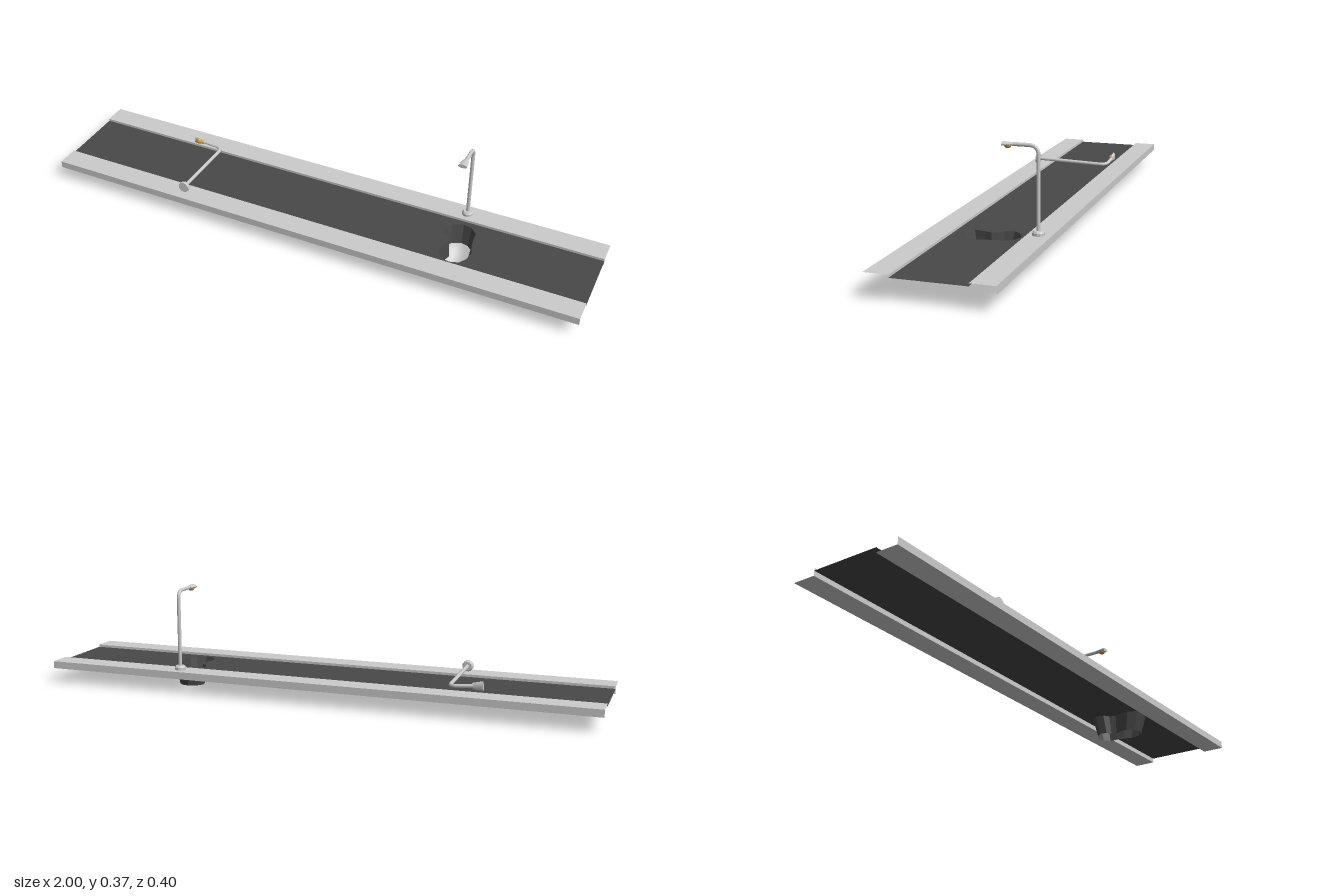
import * as THREE from 'three';

const grey = new THREE.MeshStandardMaterial({ color: 0xcccccc });
const greySides = new THREE.MeshStandardMaterial({ color: 0xcccccc, flatShading: true });
const asphalt = new THREE.MeshStandardMaterial({ color: 0x484848, side: THREE.DoubleSide });
const pitWall = new THREE.MeshStandardMaterial({ color: 0x484848, side: THREE.DoubleSide, flatShading: true });
const amber = new THREE.MeshStandardMaterial({ color: 0xd9a02c });

const ROAD_Y = 0.069, ROAD_HALF = 0.12, WALK_Y = 0.078;

// Outline of the hole, as [x, z]
const holeOutline = [
  [0.503, -0.103], [0.535, -0.095], [0.558, -0.072], [0.56, -0.04], [0.566, -0.005], [0.578, 0.03],
  [0.572, 0.07], [0.555, 0.097], [0.522, 0.107], [0.489, 0.097], [0.47, 0.066], [0.477, 0.03],
  [0.486, 0.004], [0.476, -0.018], [0.455, -0.032], [0.449, -0.062], [0.466, -0.085],
];

function add(parent, name, geometry, material) {
  const mesh = new THREE.Mesh(geometry, material);
  mesh.name = name;
  parent.add(mesh);
  return mesh;
}

// Flat road with the hole cut through it
function buildRoad(parent) {
  const shape = new THREE.Shape([[-1, -1], [1, -1], [1, 1], [-1, 1]]
    .map(([x, s]) => new THREE.Vector2(x, s * ROAD_HALF)));
  shape.holes.push(new THREE.Path(holeOutline.map(([x, z]) => new THREE.Vector2(x, -z))));
  const road = add(parent, 'road', new THREE.ShapeGeometry(shape), asphalt);
  road.rotation.x = -Math.PI / 2;
  road.position.y = ROAD_Y;
}

// Tapered wall of the hole, open at the bottom
function buildPit(parent) {
  const cx = 0.515, taper = 0.82, n = holeOutline.length;
  const positions = [], index = [];
  holeOutline.forEach(([x, z], i) => {
    positions.push(x, ROAD_Y, z, cx + (x - cx) * taper, 0, z * taper);
    const a = 2 * i, b = 2 * ((i + 1) % n);
    index.push(a, b, a + 1, b, b + 1, a + 1);
  });
  const geometry = new THREE.BufferGeometry();
  geometry.setAttribute('position', new THREE.Float32BufferAttribute(positions, 3));
  geometry.setIndex(index);
  geometry.computeVertexNormals();
  add(parent, 'holeWall', geometry, pitWall);
}

// Pavement: a long box without end faces
function buildPavement(parent, name, side) {
  const height = WALK_Y - 0.052;
  const geometry = new THREE.BoxGeometry(2, height, 0.08);
  geometry.setIndex(Array.from(geometry.index.array).slice(12)); // drops both x ends
  geometry.clearGroups();
  add(parent, name, geometry, grey).position.set(0, WALK_Y - height / 2, side * 0.16);
}

// Street lamp standing at its own origin, arm reaching to +z
function buildLamp(parent, name) {
  const lamp = new THREE.Group();
  lamp.name = name;
  parent.add(lamp);

  const profile = [[0, 0], [0.02, 0], [0.02, 0.01], [0.016, 0.016], [0, 0.016]];
  add(lamp, 'lampBase', new THREE.LatheGeometry(profile.map(p => new THREE.Vector2(...p)), 12), greySides);

  // Post, bend and arm in one tube
  const top = 0.287, bend = 0.03;
  const path = new THREE.CurvePath();
  const v = (y, z) => new THREE.Vector3(0, y, z);
  path.add(new THREE.LineCurve3(v(0.012, 0), v(top - bend, 0)));
  path.add(new THREE.QuadraticBezierCurve3(v(top - bend, 0), v(top, 0), v(top, bend)));
  path.add(new THREE.LineCurve3(v(top, bend), v(top, 0.085)));
  add(lamp, 'lampPost', new THREE.TubeGeometry(path, 48, 0.0065, 10), grey);

  // Flattened head, widening outwards
  const head = add(lamp, 'lampHead', new THREE.CylinderGeometry(0.0165, 0.011, 0.037, 12), greySides);
  head.rotation.x = Math.PI / 2;
  head.scale.z = 0.42;
  head.position.set(0, top, 0.0985);

  // Bulb under the head
  const bulb = add(lamp, 'lampBulb',
    new THREE.SphereGeometry(0.012, 14, 6, 0, Math.PI * 2, Math.PI / 2, Math.PI / 2), amber);
  bulb.scale.y = 0.85;
  bulb.position.set(0, top - 0.004, 0.1);
  return lamp;
}

export function createModel() {
  const model = new THREE.Group();
  model.name = 'brokenStreet';
  buildRoad(model);
  buildPit(model);
  buildPavement(model, 'frontPavement', 1);
  buildPavement(model, 'backPavement', -1);

  buildLamp(model, 'standingLamp').position.set(0.497, 0.0765, -0.157);

  // Fallen lamp lies across the road, its arm towards -x
  const fallen = buildLamp(model, 'fallenLamp');
  const up = new THREE.Vector3(0, -0.03, -1).normalize();
  const across = new THREE.Vector3().crossVectors(up, new THREE.Vector3(-1, 0.08, 0)).normalize();
  const forward = new THREE.Vector3().crossVectors(across, up);
  fallen.quaternion.setFromRotationMatrix(new THREE.Matrix4().makeBasis(across, up, forward));
  fallen.position.set(-0.482, 0.1, 0.167);
  return model;
}
